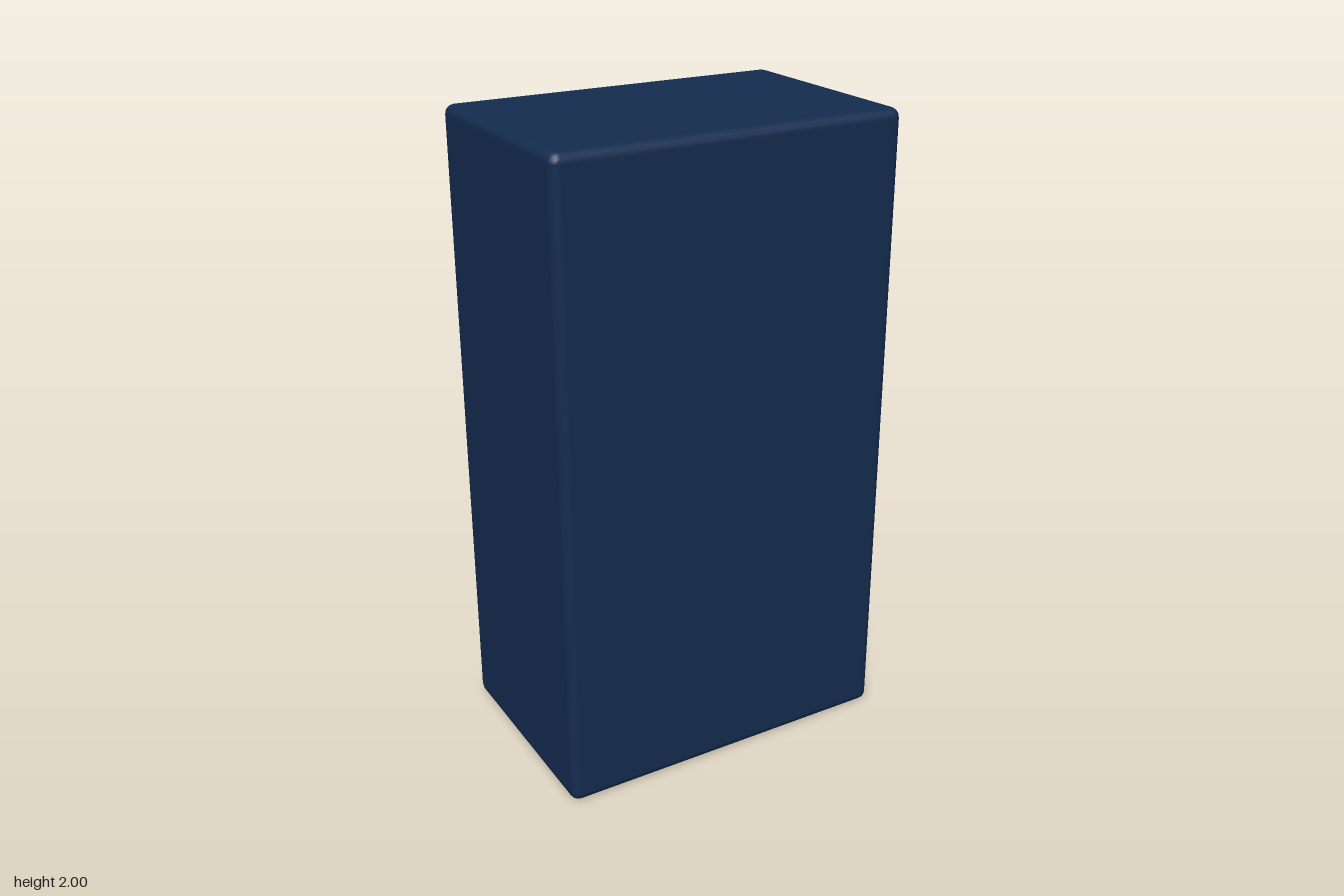
import * as THREE from 'three';
import { RoundedBoxGeometry } from 'three/addons/geometries/RoundedBoxGeometry.js';

export function createModel() {
  const model = new THREE.Group();
  model.name = 'cabinet';

  const blue = new THREE.MeshStandardMaterial({ color: 0x142c50 });
  const black = new THREE.MeshStandardMaterial({ color: 0x111111 });
  const red = new THREE.MeshStandardMaterial({ color: 0x701212 });

  function add(name, geometry, material, x, y, z) {
    const mesh = new THREE.Mesh(geometry, material);
    mesh.name = name;
    mesh.position.set(x, y, z);
    model.add(mesh);
    return mesh;
  }

  // Tall housing with softened edges
  add('housing', new RoundedBoxGeometry(1.106, 2, 0.72, 2, 0.03), blue, -0.037, 1, 0);

  // Raised display panel on the +x side, set into the housing
  add('screen', new RoundedBoxGeometry(0.09, 0.496, 0.566, 2, 0.009), black, 0.516, 1.604, 0);

  // Row of four round buttons, standing clear of the panel
  const buttonGeometry = new THREE.CylinderGeometry(0.038, 0.038, 0.029, 32);
  buttonGeometry.rotateZ(-Math.PI / 2);
  for (let i = 0; i < 4; i++) {
    add('button' + (i + 1), buttonGeometry, red, 0.5755, 1.116, 0.165 - i * 0.111);
  }

  return model;
}
